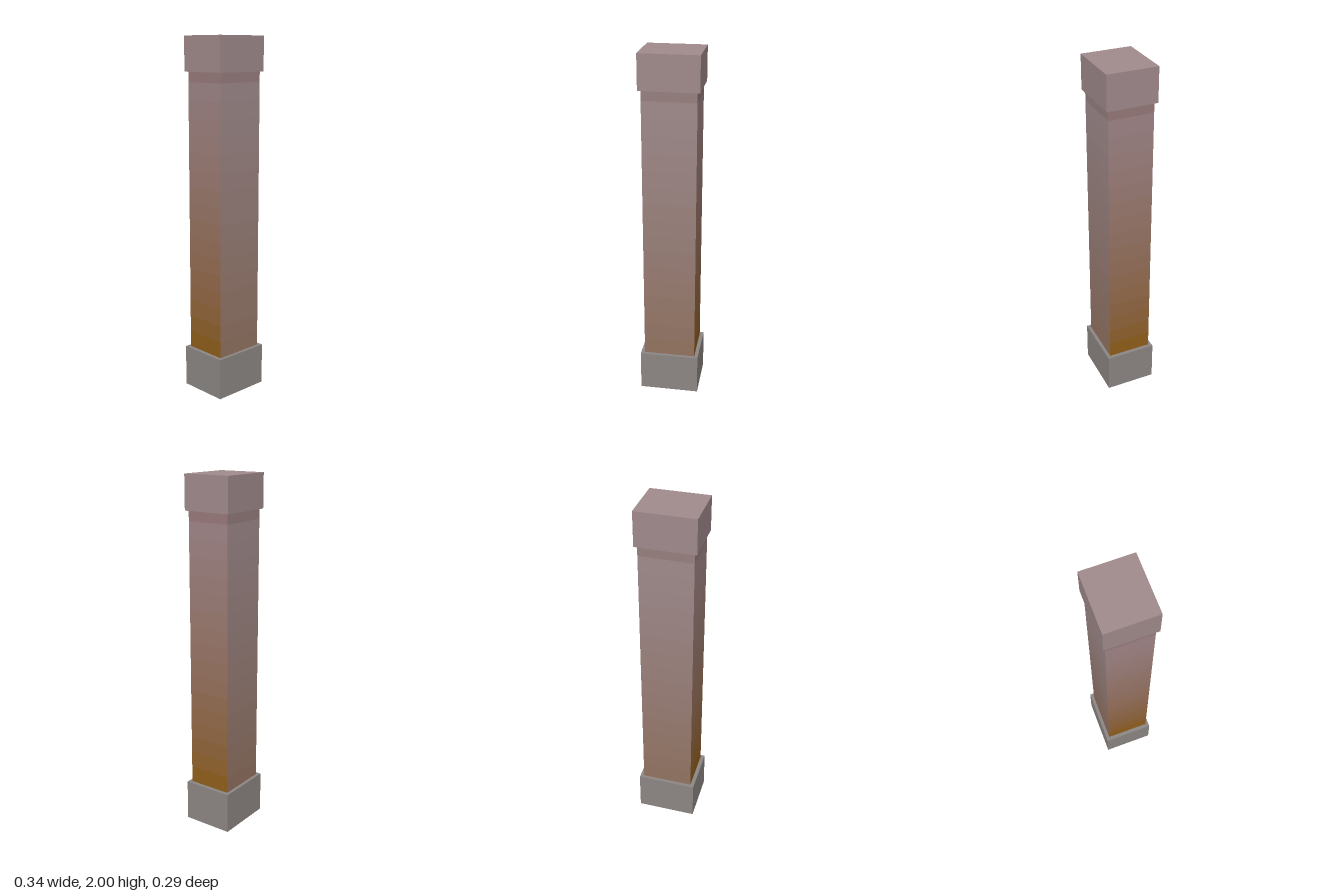
import * as THREE from 'three';

const BASE_TOP = 0.235, NECK = 1.755, CAP_BOTTOM = 1.81;
const SHAFT_W = 0.294, SHAFT_D = 0.252;

const paint = (color) => new THREE.MeshStandardMaterial({ color });

// Box standing on y = bottom
function block(name, w, bottom, top, d, color) {
  const mesh = new THREE.Mesh(new THREE.BoxGeometry(w, top - bottom, d), paint(color));
  mesh.name = name;
  mesh.position.y = (bottom + top) / 2;
  return mesh;
}

// Open ring of four panels: one colour front and back, another on the sides
function shaftBand(name, bottom, top, faceColor, sideColor) {
  const band = new THREE.Group();
  band.name = name;
  const materials = [paint(faceColor), paint(sideColor)];
  for (let i = 0; i < 4; i++) {
    const side = i % 2;
    const width = side ? SHAFT_D : SHAFT_W;
    const offset = (side ? SHAFT_W : SHAFT_D) / 2;
    const geometry = new THREE.PlaneGeometry(width, top - bottom);
    geometry.translate(0, (bottom + top) / 2, offset);
    geometry.rotateY(i * Math.PI / 2);
    const panel = new THREE.Mesh(geometry, materials[side]);
    panel.name = side ? 'sidePanel' : 'facePanel';
    band.add(panel);
  }
  return band;
}

export function createModel() {
  const pillar = new THREE.Group();
  pillar.name = 'pillar';

  // Plinth and cap
  pillar.add(block('base', 0.338, 0, BASE_TOP, 0.29, 0x8c8683));
  pillar.add(block('cap', 0.324, CAP_BOTTOM, 2, 0.28, 0xa08a8c));

  // Shaft, fading from warm brown at the foot to dusty mauve at the top
  const shaft = new THREE.Group();
  shaft.name = 'shaft';
  const faceLow = new THREE.Color(0x92725f), faceHigh = new THREE.Color(0xa08b8d);
  const sideLow = new THREE.Color(0x8f5d0a), sideHigh = new THREE.Color(0xa08688);
  const bands = 16, step = (NECK - BASE_TOP) / bands;
  for (let i = 0; i < bands; i++) {
    const t = (i + 0.5) / bands;
    const y = BASE_TOP + i * step;
    shaft.add(shaftBand('shaftBand', y, y + step,
      faceLow.clone().lerp(faceHigh, t), sideLow.clone().lerp(sideHigh, t)));
  }

  // Slightly redder neck under the cap
  shaft.add(shaftBand('neck', NECK, CAP_BOTTOM, 0x987f7f, 0x98797a));
  pillar.add(shaft);

  return pillar;
}
